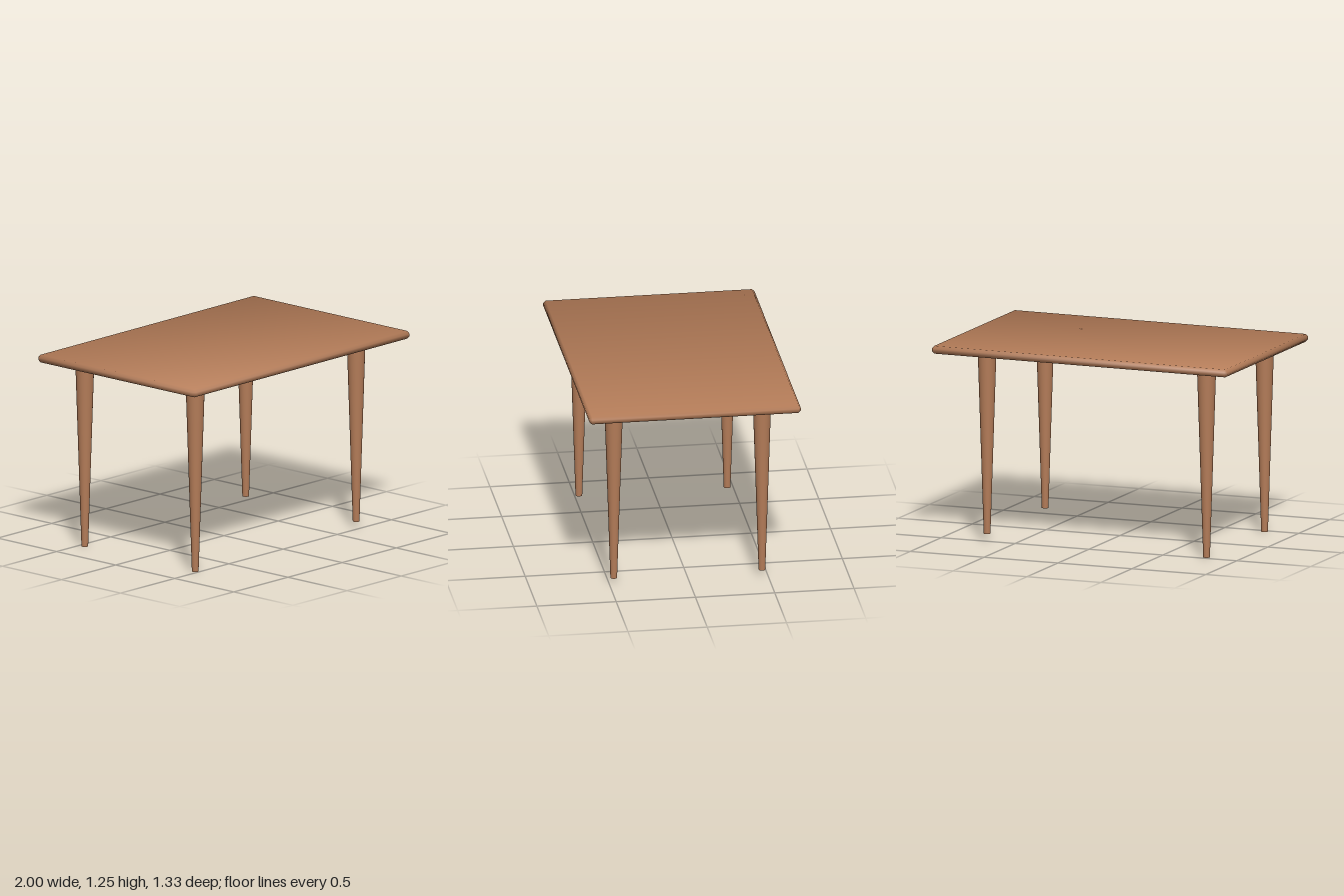
import * as THREE from 'three';
import { ConvexGeometry } from 'three/addons/geometries/ConvexGeometry.js';

// Box with a one-step bevel on every edge, shaded softly across its faces
function bevelledSlab(w, h, d, bevel) {
  const half = [w / 2, h / 2, d / 2];
  const points = [];
  for (const sx of [-1, 1]) for (const sy of [-1, 1]) for (const sz of [-1, 1]) {
    for (let axis = 0; axis < 3; axis++) {
      const p = [sx, sy, sz].map((s, i) => s * (half[i] - (i === axis ? 0 : bevel)));
      points.push(new THREE.Vector3(...p));
    }
  }
  const geometry = new ConvexGeometry(points);

  // Each corner normal leans outward from the face the corner lies on
  const pos = geometry.attributes.position;
  const normal = geometry.attributes.normal;
  for (let i = 0; i < pos.count; i++) {
    const p = [pos.getX(i), pos.getY(i), pos.getZ(i)];
    const n = p.map((v, k) => Math.sign(v) * (half[k] - Math.abs(v) < bevel / 2 ? 1 : 0.39));
    const v = new THREE.Vector3(...n).normalize();
    normal.setXYZ(i, v.x, v.y, v.z);
  }
  return geometry;
}

export function createModel() {
  const table = new THREE.Group();
  table.name = 'table';
  const wood = new THREE.MeshStandardMaterial({ color: 0xb47c58 });
  wood.name = 'warm brown wood';

  // Table top, very slightly tilted
  const top = new THREE.Mesh(bevelledSlab(2, 0.049, 1.333, 0.016), wood);
  top.name = 'tableTop';
  top.position.y = 1.2175;
  top.rotation.z = 0.0035;
  table.add(top);

  // Four tapered round legs; the left pair sits a little higher
  const legHeight = 1.177;
  const legGeometry = new THREE.CylinderGeometry(0.059, 0.021, legHeight, 32);
  for (const [side, x, foot] of [['left', 0.705, 0.042], ['right', -0.78, 0]]) {
    for (const [end, z] of [['Front', 0.472], ['Back', -0.463]]) {
      const leg = new THREE.Mesh(legGeometry, wood);
      leg.name = `${side}${end}Leg`;
      leg.position.set(x, foot + legHeight / 2, z);
      table.add(leg);
    }
  }
  return table;
}
